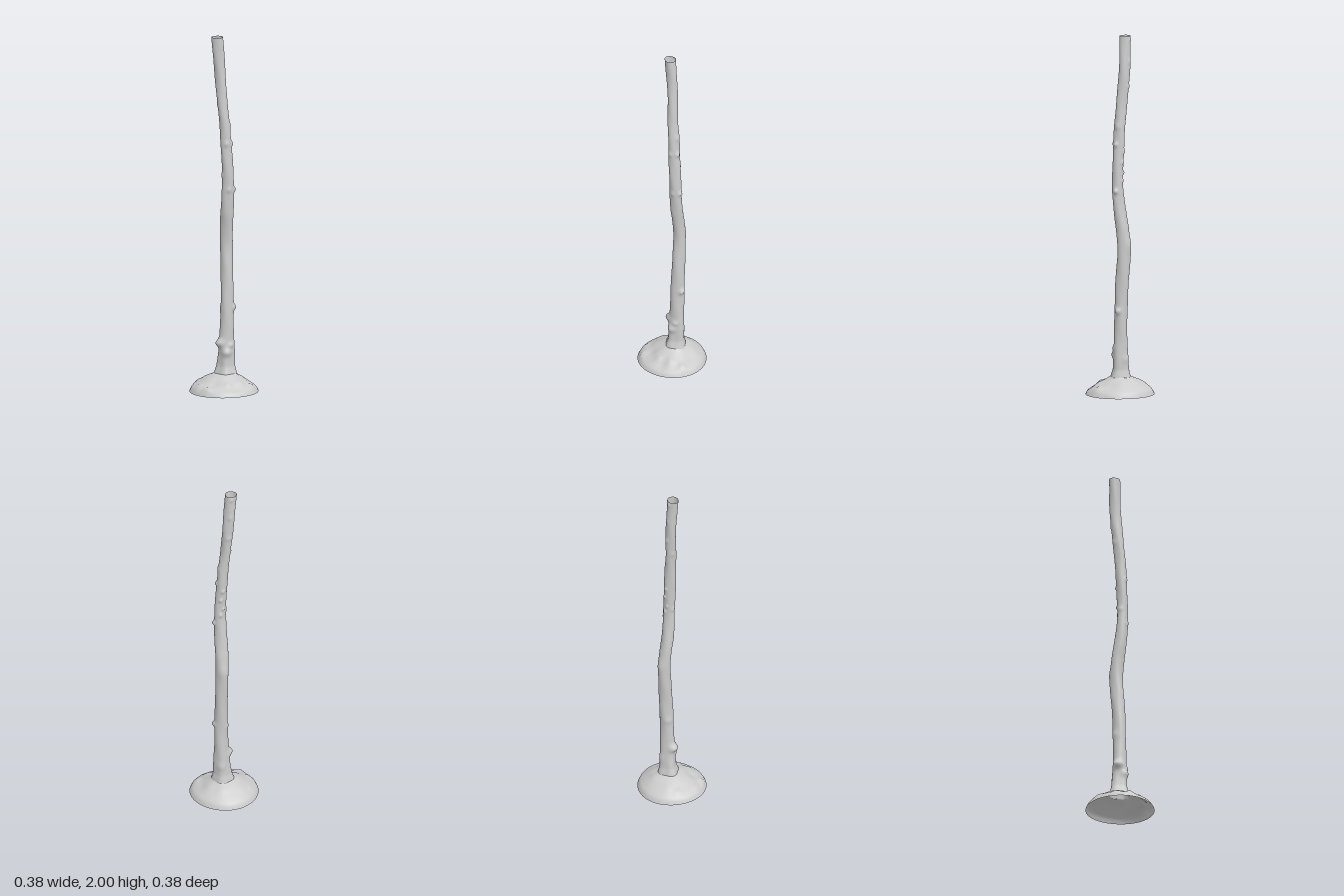
import * as THREE from 'three';

const material = new THREE.MeshStandardMaterial({ color: 0xcccccc, side: THREE.DoubleSide });
const SEGMENTS = 48;

// Trunk centre line and radius: y, x, z, radius
const TRUNK = [
  [0.10, 0.013, -0.012, 0.058], [0.14, 0.015, -0.014, 0.047], [0.2, 0.018, -0.014, 0.043],
  [0.3, 0.02, -0.014, 0.039], [0.4, 0.022, -0.015, 0.037], [0.6, 0.024, -0.022, 0.036],
  [0.7, 0.023, -0.029, 0.036], [0.82, 0.022, -0.035, 0.035], [0.92, 0.021, -0.026, 0.035],
  [1.0, 0.021, -0.013, 0.035], [1.1, 0.023, -0.002, 0.033], [1.2, 0.024, 0.003, 0.031],
  [1.4, 0.013, 0.0, 0.031], [1.5, 0.007, -0.003, 0.03], [1.6, -0.003, -0.008, 0.029],
  [1.8, -0.017, -0.021, 0.03], [2.0, -0.032, -0.019, 0.031],
];

// Knots on the bark: y, angle from +x toward +z in degrees, height, size
const KNOTS = [
  [0.27, 165, 0.024, 0.03], [0.22, 95, 0.014, 0.03], [0.47, 10, 0.014, 0.022],
  [0.46, 200, 0.005, 0.03], [0.26, 65, 0.009, 0.02], [0.2, 290, 0.005, 0.03],
  [0.84, 270, 0.004, 0.05], [1.14, 0, 0.013, 0.018], [1.14, 90, 0.005, 0.02],
  [1.2, 275, 0.008, 0.016], [1.24, 250, 0.009, 0.012], [1.3, 285, 0.009, 0.014],
  [1.36, 270, 0.008, 0.014], [1.4, 10, 0.011, 0.018], [1.4, 95, 0.006, 0.02],
  [1.5, 5, 0.005, 0.025], [1.62, 200, 0.004, 0.02], [1.72, 270, 0.005, 0.02],
  [1.86, 275, 0.004, 0.02], [1.98, 270, 0.006, 0.016], [1.22, 180, 0.005, 0.02],
];

// Lumps on the mound: x, z, height, size
const LUMPS = [
  [-0.12, 0.12, 0.015, 0.022], [-0.15, 0.05, 0.009, 0.02], [-0.13, -0.07, 0.007, 0.02],
  [0.0, 0.12, 0.011, 0.018], [0.07, 0.1, 0.012, 0.026], [0.14, 0.08, 0.014, 0.022],
  [-0.07, 0.09, -0.01, 0.025], [0.04, 0.14, -0.008, 0.025], [0.1, -0.06, 0.006, 0.03],
  [-0.08, -0.1, 0.006, 0.03], [0.04, -0.1, 0.007, 0.035], [0.13, 0.0, -0.005, 0.025],
];

const trunkCurve = new THREE.CatmullRomCurve3(TRUNK.map(([y, x, z]) => new THREE.Vector3(x, y, z)));

function trunkRadius(y) {
  let i = 1;
  while (i < TRUNK.length - 1 && TRUNK[i][0] < y) i++;
  const a = TRUNK[i - 1], b = TRUNK[i];
  return THREE.MathUtils.mapLinear(y, a[0], b[0], a[3], b[3]);
}

// Loft rows of points; point(a, t) takes an angle and a height fraction
function loft(name, rows, point) {
  const positions = [], index = [];
  for (let r = 0; r <= rows; r++) {
    for (let s = 0; s < SEGMENTS; s++) {
      positions.push(...point((s / SEGMENTS) * Math.PI * 2, r / rows));
      if (r === rows) continue;
      const a = r * SEGMENTS + s, b = r * SEGMENTS + ((s + 1) % SEGMENTS);
      index.push(a, a + SEGMENTS, b, b, a + SEGMENTS, b + SEGMENTS);
    }
  }
  const geometry = new THREE.BufferGeometry();
  geometry.setAttribute('position', new THREE.Float32BufferAttribute(positions, 3));
  geometry.setIndex(index);
  geometry.computeVertexNormals();
  const mesh = new THREE.Mesh(geometry, material);
  mesh.name = name;
  return mesh;
}

// Bark surface: wavering tube with knots and faint ridges
function trunkPoint(a, t) {
  const c = trunkCurve.getPointAt(t);
  let radius = trunkRadius(c.y);
  const flare = Math.max(0, 1 - (c.y - 0.1) / 0.25);
  radius += 0.0015 * Math.sin(2 * a + c.y * 7) + 0.0008 * Math.sin(3 * a - c.y * 23);
  radius += 0.004 * flare * Math.sin(4 * a + 0.6);
  for (const [y, degrees, height, size] of KNOTS) {
    const turn = a - THREE.MathUtils.degToRad(degrees);
    const across = Math.atan2(Math.sin(turn), Math.cos(turn)) * 0.036;
    radius += height * Math.exp(-1.8 * (across ** 2 + (c.y - y) ** 2) / size ** 2);
  }
  return [c.x + radius * Math.cos(a), c.y, c.z + radius * Math.sin(a)];
}

// Mound profile from rim to trunk: radius, height
const moundCurve = new THREE.SplineCurve([
  [0.191, 0], [0.178, 0.024], [0.155, 0.042], [0.125, 0.06], [0.095, 0.078], [0.07, 0.091], [0.055, 0.105],
].map(([r, y]) => new THREE.Vector2(r, y)));

function moundPoint(a, t) {
  const p = moundCurve.getPoint(t);
  const top = trunkPoint(a, 0);
  const blend = THREE.MathUtils.smoothstep(t, 0.6, 1);
  const wave = 1 + 0.012 * Math.sin(3 * a + 0.4) * (1 - t);
  const x = p.x * wave * Math.cos(a), z = p.x * wave * Math.sin(a);
  let y = p.y - 0.006 * Math.sin(a) * Math.sin(Math.PI * t);
  const fade = Math.min(1, t * 5);
  for (const [lx, lz, height, size] of LUMPS) {
    y += fade * height * Math.exp(-((x - lx) ** 2 + (z - lz) ** 2) / size ** 2);
  }
  const mix = THREE.MathUtils.lerp;
  return [mix(x, top[0], blend), Math.max(0, mix(y, top[1], blend)), mix(z, top[2], blend)];
}

export function createModel() {
  const group = new THREE.Group();
  group.name = 'treeTrunk';
  group.add(loft('rootMound', 32, moundPoint), loft('trunk', 260, trunkPoint));
  return group;
}
